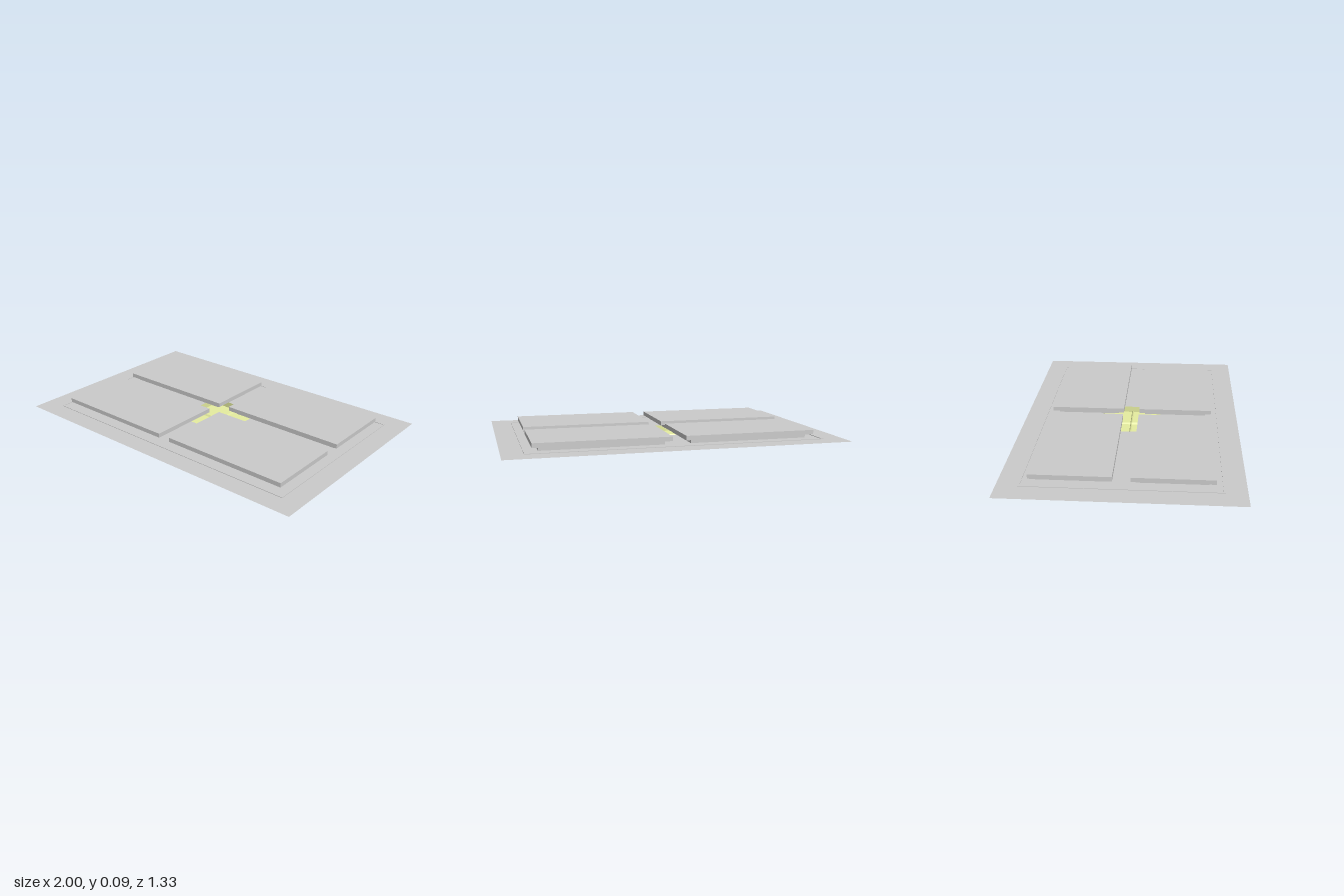
import * as THREE from 'three';

const grey = new THREE.MeshStandardMaterial({ color: 0xcccccc, side: THREE.DoubleSide, flatShading: true });
const yellow = new THREE.MeshStandardMaterial({ color: 0xe6eda0, side: THREE.DoubleSide, flatShading: true });
const SHEET_Y = 0.037, LAMP = 0.184;

// Rectangle outline centred on (cx, cz), used as a shape or as a hole
function rect(cx, cz, hw, hd, Type = THREE.Shape) {
  const r = new Type();
  r.moveTo(cx - hw, cz - hd);
  r.lineTo(cx + hw, cz - hd);
  r.lineTo(cx + hw, cz + hd);
  r.lineTo(cx - hw, cz + hd);
  r.closePath();
  return r;
}

function add(parent, name, geometry, material = grey) {
  const mesh = new THREE.Mesh(geometry, material);
  mesh.name = name;
  parent.add(mesh);
  return mesh;
}

// Flat horizontal sheet from a shape, facing up
function sheet(shape, y) {
  return new THREE.ShapeGeometry(shape).rotateX(-Math.PI / 2).translate(0, y, 0);
}

// Four upright walls around a rectangle, without top or bottom
function walls(parent, name, hw, hd, y0, y1) {
  const h = y1 - y0, y = (y0 + y1) / 2;
  for (const s of [-1, 1]) {
    add(parent, name, new THREE.PlaneGeometry(2 * hw, h).rotateY(s > 0 ? 0 : Math.PI).translate(0, y, s * hd));
    add(parent, name, new THREE.PlaneGeometry(2 * hd, h).rotateY(s * Math.PI / 2).translate(s * hw, y, 0));
  }
}

export function createModel() {
  const model = new THREE.Group();
  model.name = 'coffered ceiling';

  // Thin ceiling sheet, open under the four coffers and over the lamp
  const main = rect(0, 0, 1, 0.667);
  main.holes.push(rect(0, 0, LAMP, LAMP, THREE.Path));
  const cx = 0.436, cz = 0.276;
  const sheetShape = rect(0, 0, 1, 0.667);
  // The lamp opening is a cross, since the coffer necks cover its corners
  const cross = new THREE.Path();
  const a = 0.077, b = 0.084, L = LAMP;
  [[-a, -L], [a, -L], [a, -b], [L, -b], [L, b], [a, b], [a, L], [-a, L], [-a, b], [-L, b], [-L, -b], [-a, -b]]
    .forEach(([x, z], i) => (i ? cross.lineTo(x, z) : cross.moveTo(x, z)));
  cross.closePath();
  sheetShape.holes.push(cross);
  for (const sx of [-1, 1]) for (const sz of [-1, 1]) {
    sheetShape.holes.push(rect(sx * (cx + 0.001), sz * (cz + 0.001), 0.358, 0.191, THREE.Path));
  }
  add(model, 'ceilingSheet', sheet(sheetShape, SHEET_Y));

  // Thin moulding running round the coffers
  const moulding = rect(0, 0, 0.876, 0.549);
  moulding.holes.push(rect(0, 0, 0.866, 0.539, THREE.Path));
  add(model, 'moulding', new THREE.ExtrudeGeometry(moulding, { depth: 0.005, bevelEnabled: false })
    .rotateX(-Math.PI / 2).translate(0, SHEET_Y - 0.002, 0));

  // Four hollow coffers: a neck, then a wider cove above it
  for (const sx of [-1, 1]) for (const sz of [-1, 1]) {
    const coffer = new THREE.Group();
    coffer.name = 'coffer';
    coffer.position.set(sx * cx, 0, sz * cz);
    const hw = 0.396, hd = 0.227, y0 = 0.061, y1 = 0.087;
    walls(coffer, 'cofferNeck', 0.359, 0.192, SHEET_Y, y0);
    walls(coffer, 'coveSide', hw, hd, y0, y1);
    const ledge = rect(0, 0, hw, hd);
    ledge.holes.push(rect(0, 0, 0.359, 0.192, THREE.Path));
    add(coffer, 'coveLedge', sheet(ledge, y0));
    add(coffer, 'coveTop', sheet(rect(0, 0, hw, hd), y1));
    model.add(coffer);
  }

  // Shallow lamp tray below the sheet, with a small groove crossing its floor
  const lamp = new THREE.Group();
  lamp.name = 'lamp';
  const steps = [-LAMP, -0.006, 0, 0.006, LAMP];
  const floor = new THREE.PlaneGeometry(4, 4, 4, 4).rotateX(-Math.PI / 2);
  const p = floor.attributes.position;
  for (let i = 0; i < p.count; i++) {
    const ix = Math.round(p.getX(i)) + 2, iz = Math.round(p.getZ(i)) + 2;
    p.setXYZ(i, steps[ix], ix === 2 || iz === 2 ? 0.01 : 0, steps[iz]);
  }
  floor.computeVertexNormals();
  add(lamp, 'lampFloor', floor, yellow);
  const side = new THREE.Shape();
  [[-L, 0], [-0.006, 0], [0, 0.01], [0.006, 0], [L, 0], [L, SHEET_Y], [-L, SHEET_Y]]
    .forEach(([x, y], i) => (i ? side.lineTo(x, y) : side.moveTo(x, y)));
  for (let i = 0; i < 4; i++) {
    add(lamp, 'lampSide', new THREE.ShapeGeometry(side).translate(0, 0, L).rotateY(i * Math.PI / 2), yellow);
  }
  model.add(lamp);
  return model;
}
